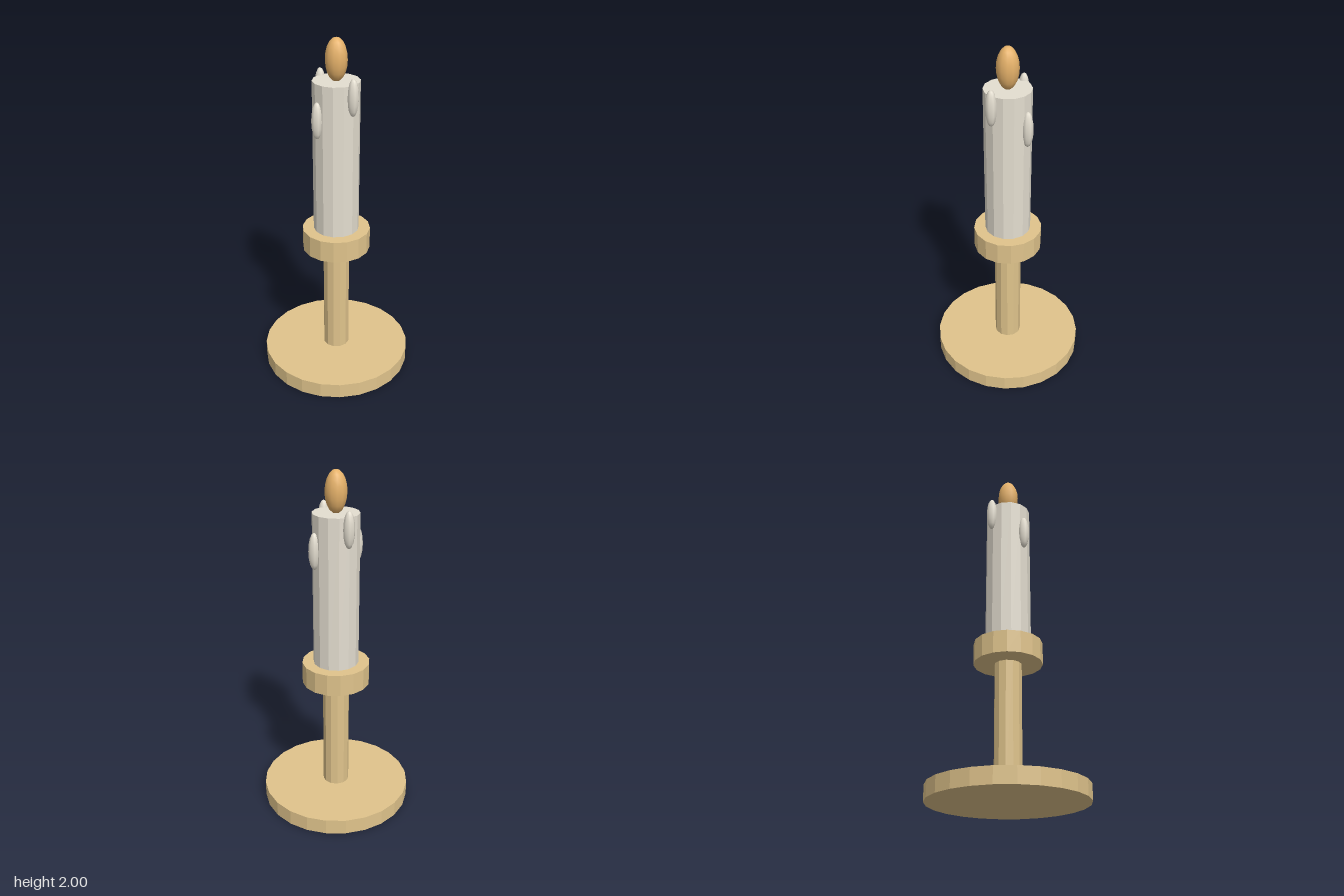
import * as THREE from 'three';

const mat = (name, color, flatShading) => {
  const m = new THREE.MeshStandardMaterial({ color, flatShading });
  m.name = name;
  return m;
};

export function createModel() {
  const group = new THREE.Group();
  const brass = mat('brass', 0xe0c48c, true);
  const wax = mat('wax', 0xe4ded0, true);
  const flameOrange = mat('flame orange', 0xe6b26a, false);

  // Faceted upright cylinder between two heights
  const post = (name, radius, y0, y1, sides, material) => {
    const mesh = new THREE.Mesh(new THREE.CylinderGeometry(radius, radius, y1 - y0, sides), material);
    mesh.position.y = (y0 + y1) / 2;
    mesh.name = name;
    group.add(mesh);
  };

  // Stretched sphere
  const blob = (name, radius, halfHeight, x, y, z, sides, rows, material) => {
    const geometry = new THREE.SphereGeometry(1, sides, rows);
    geometry.scale(radius, halfHeight, radius);
    const mesh = new THREE.Mesh(geometry, material);
    mesh.position.set(x, y, z);
    mesh.name = name;
    group.add(mesh);
  };

  // Holder and candle
  post('base', 0.437, 0, 0.09, 24, brass);
  post('stem', 0.077, 0.09, 0.77, 12, brass);
  post('cup', 0.195, 0.77, 0.897, 16, brass);
  post('candle', 0.13, 0.897, 1.772, 14, wax);

  // Flame
  blob('flame', 0.061, 0.117, 0, 1.883, 0, 12, 10, flameOrange);

  // Wax drips around the rim, alternating high and low
  const dripWax = wax.clone();
  dripWax.name = 'wax';
  dripWax.flatShading = false;
  for (let i = 0; i < 4; i++) {
    const a = 0.4 + i * Math.PI / 2;
    const y = i % 2 ? 1.577 : 1.708;
    blob('waxDrip', 0.032, 0.103, 0.134 * Math.sin(a), y, 0.134 * Math.cos(a), 8, 8, dripWax);
  }

  return group;
}
